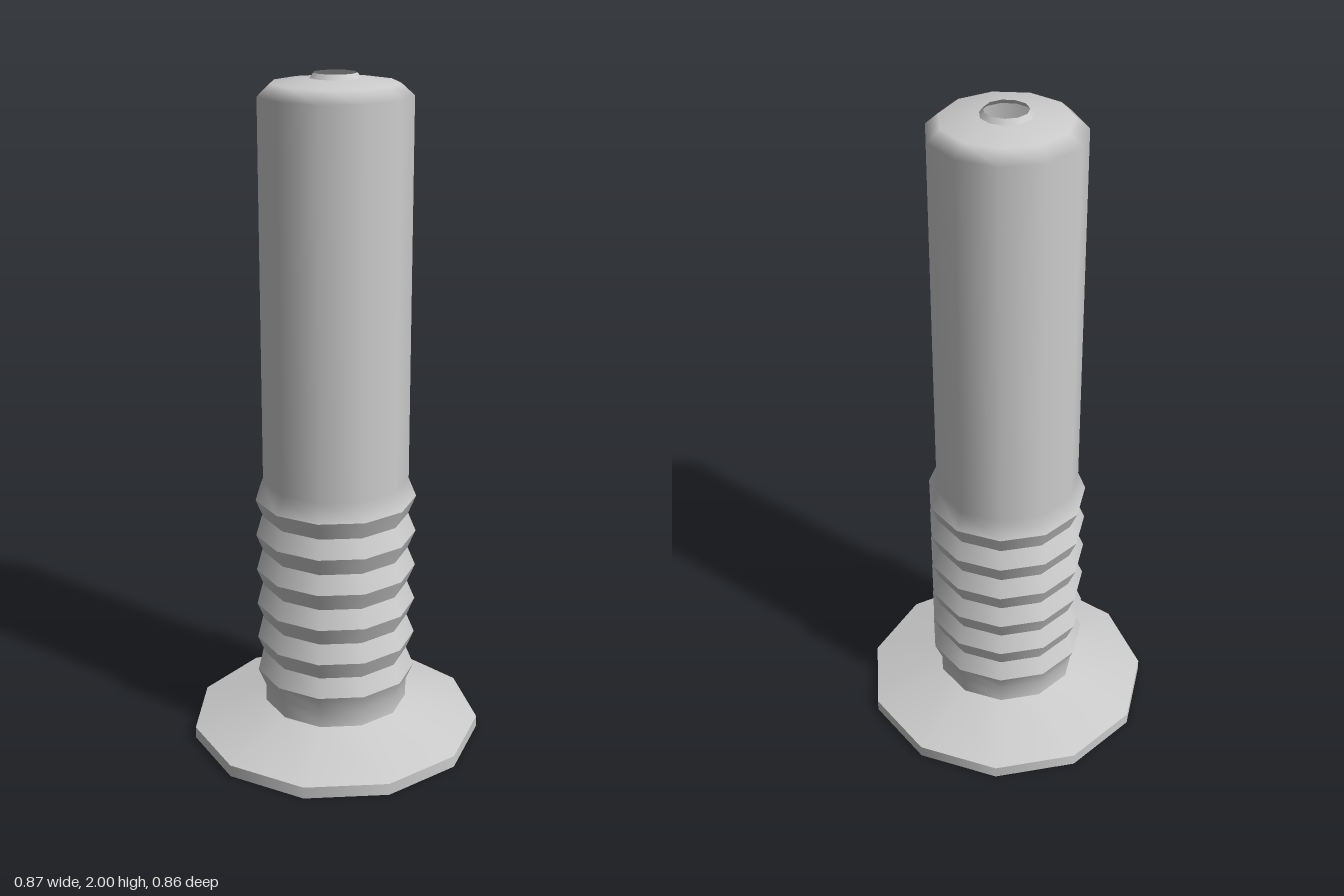
import * as THREE from 'three';

const SIDES = 11;
const material = new THREE.MeshStandardMaterial({ color: 0xcccccc, side: THREE.DoubleSide });

// One smooth run of the profile, turned round the axis; separate runs meet in sharp edges
function turned(name, profile) {
  const points = profile.map(([r, y]) => new THREE.Vector2(r, y));
  const mesh = new THREE.Mesh(new THREE.LatheGeometry(points, SIDES, Math.PI), material);
  mesh.name = name;
  return mesh;
}

export function createModel() {
  const model = new THREE.Group();
  model.name = 'ribbedTube';
  const BODY = 0.217, RIDGE = 0.24, FLANGE = 0.439;
  const RIBS = 6, FIRST = 0.213, PITCH = 0.1115;

  // Open, flared foot
  model.add(turned('flangeRim', [[FLANGE, 0], [FLANGE, 0.036]]));
  model.add(turned('flangeSlope', [[FLANGE, 0.036], [BODY, 0.105]]));

  // Bellows: each ridge has a lower and an upper slope
  const bellows = new THREE.Group();
  bellows.name = 'bellows';
  for (let i = 0; i < RIBS; i++) {
    const y = FIRST + i * PITCH;
    const lower = [[BODY, y - PITCH / 2], [RIDGE, y]];
    if (i === 0) lower.unshift([BODY, 0.105]); // neck runs smoothly into the first ridge
    bellows.add(turned('ridgeUnderside', lower));
    if (i < RIBS - 1) bellows.add(turned('ridgeTop', [[RIDGE, y], [BODY, y + PITCH / 2]]));
  }
  model.add(bellows);

  // Last ridge, long barrel and rounded shoulder
  const top = FIRST + (RIBS - 1) * PITCH;
  model.add(turned('barrel', [
    [RIDGE, top], [BODY, top + PITCH / 2], [BODY, 1.94], [0.18, 1.973], [0.072, 1.986],
  ]));

  // Raised lip round the open hole
  model.add(turned('holeLip', [[0.072, 1.986], [0.061, 2]]));

  // The odd-sided outline is centred by its bounds
  model.position.z = FLANGE * (1 - Math.cos(Math.PI / SIDES)) / 2;
  return model;
}
